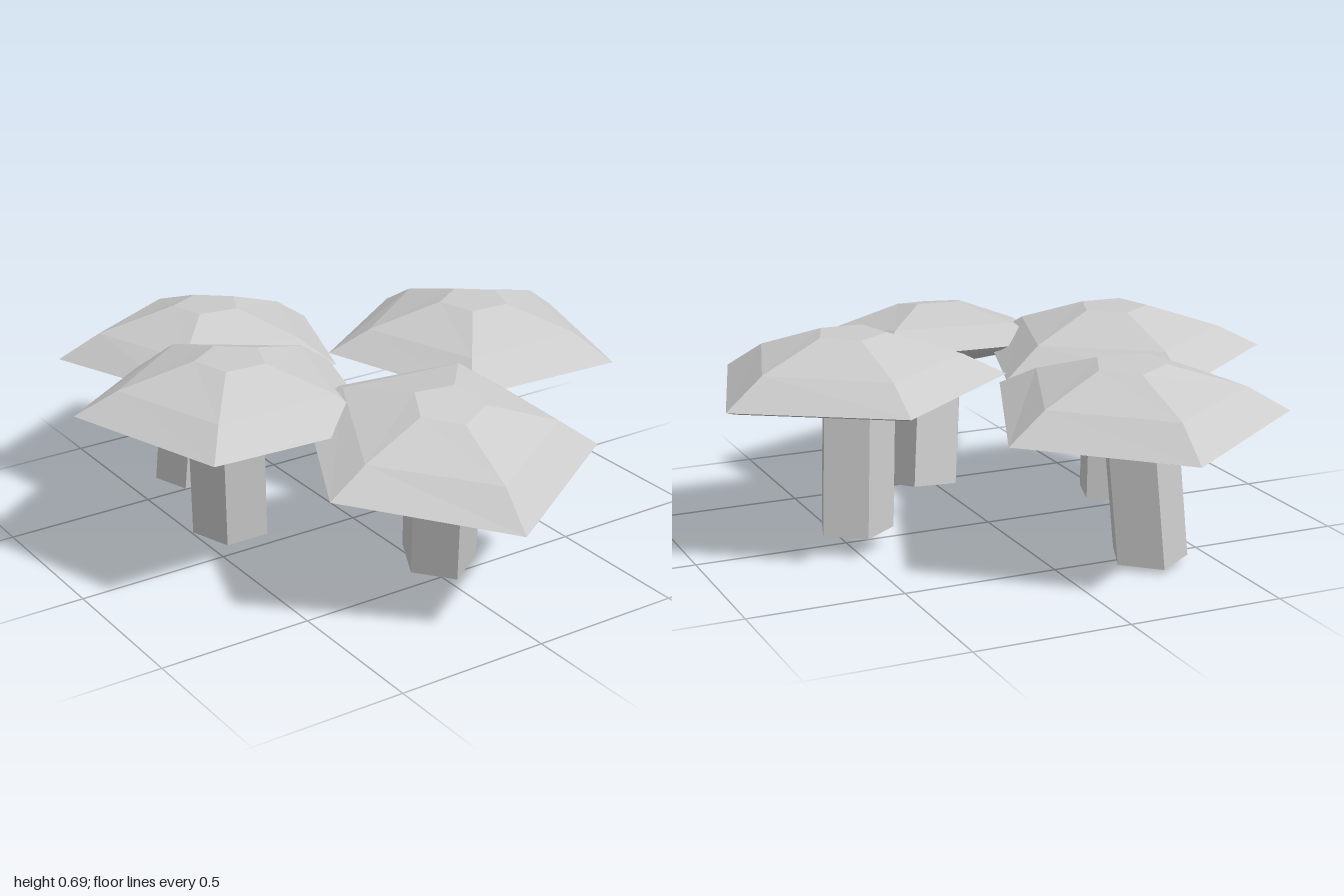
import * as THREE from 'three';

const SIDES = 5;
const material = new THREE.MeshStandardMaterial({ color: 0xcccccc, flatShading: true });

// Five-sided ring with one corner towards -z; slope drops the +x side a little
function ring({ r, y, x = 0, z = 0, slope = 0, twist = 0 }) {
  return Array.from({ length: SIDES }, (_, k) => {
    const a = -Math.PI / 2 + twist + (k * 2 * Math.PI) / SIDES;
    const dx = r * Math.cos(a);
    return new THREE.Vector3(x + dx, y - slope * dx, z + r * Math.sin(a));
  });
}

// Closed flat-shaded solid through rings listed from bottom to top
function loft(sections) {
  const rings = sections.map(ring);
  const points = [];
  for (let i = 0; i < rings.length - 1; i++) {
    for (let k = 0; k < SIDES; k++) {
      const n = (k + 1) % SIDES;
      const a = rings[i][k], b = rings[i][n];
      const c = rings[i + 1][n], d = rings[i + 1][k];
      points.push(a, d, c, a, c, b);
    }
  }
  const bottom = rings[0], top = rings[rings.length - 1];
  for (let k = 1; k < SIDES - 1; k++) {
    points.push(bottom[0], bottom[k], bottom[k + 1]);
    points.push(top[0], top[k + 1], top[k]);
  }
  const geometry = new THREE.BufferGeometry().setFromPoints(points);
  geometry.computeVertexNormals();
  return geometry;
}

// Cap: shallow underside, narrow lip, two sloping bands and a flat crown
const capGeometry = loft([
  { r: 0.13, y: -0.05 },
  { r: 0.45, y: -0.012, slope: 0.025 },
  { r: 0.487, y: 0, slope: 0.025 },
  { r: 0.35, y: 0.08 },
  { r: 0.115, y: 0.155, z: 0.015, twist: 0.05 },
]);

// Stem: leaning prism with level ends
const stemGeometry = loft([
  { r: 0.125, y: -0.465, x: 0.025, z: -0.057 },
  { r: 0.125, y: -0.045, x: -0.002, z: -0.018 },
]);

// Position is the middle of the cap rim; up is the direction the cap faces
function mushroom(name, position, up, yaw) {
  const group = new THREE.Group();
  group.name = name;
  const cap = new THREE.Mesh(capGeometry, material);
  cap.name = 'cap';
  const stem = new THREE.Mesh(stemGeometry, material);
  stem.name = 'stem';
  group.add(cap, stem);
  const yAxis = new THREE.Vector3(0, 1, 0);
  group.position.set(...position);
  group.quaternion
    .setFromUnitVectors(yAxis, new THREE.Vector3(...up).normalize())
    .multiply(new THREE.Quaternion().setFromAxisAngle(yAxis, THREE.MathUtils.degToRad(yaw)));
  return group;
}

export function createModel() {
  const model = new THREE.Group();
  model.name = 'mushroomCluster';
  model.add(
    mushroom('leftMushroom', [0.465, 0.525, 0.007], [0, 1, 0], 0),
    mushroom('rightMushroom', [-0.463, 0.525, 0.007], [0, 1, 0], 0),
    mushroom('frontMushroom', [-0.025, 0.468, 0.53], [-0.027, 1, 0.188], -42),
    mushroom('backMushroom', [-0.245, 0.48, -0.53], [0.02, 1, -0.05], 68),
  );
  return model;
}
